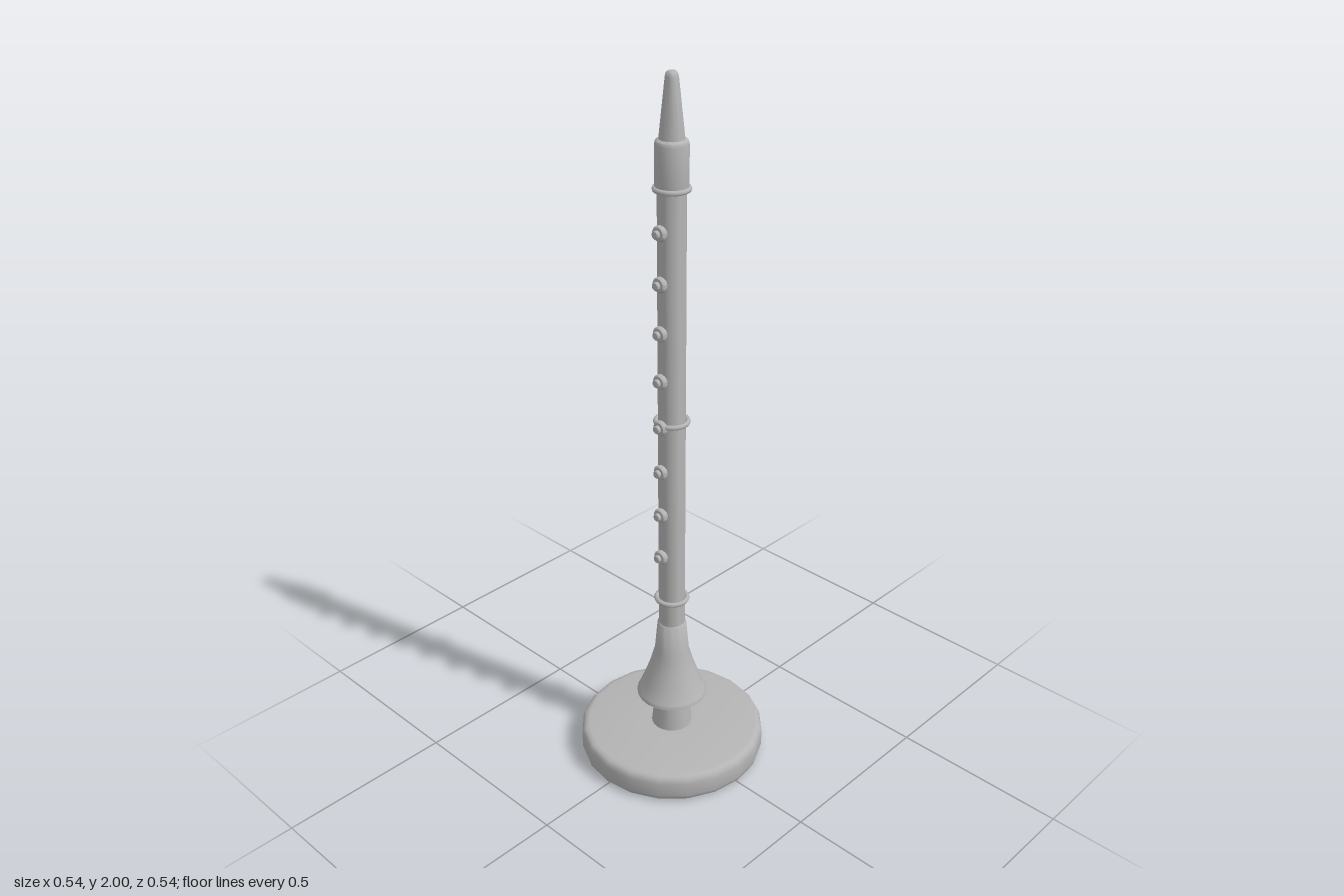
import * as THREE from 'three';
import { toCreasedNormals } from 'three/addons/utils/BufferGeometryUtils.js';

const grey = new THREE.MeshStandardMaterial({ color: 0xb4b4b4, side: THREE.DoubleSide });
grey.name = 'grey';

// Turned part from a [radius, height] profile, listed upwards along the outside
function turned(name, profile, sides = 24) {
  const points = profile.map(([r, y]) => new THREE.Vector2(r, y));
  const geometry = toCreasedNormals(new THREE.LatheGeometry(points, sides), 0.7);
  const mesh = new THREE.Mesh(geometry, grey);
  mesh.name = name;
  return mesh;
}

export function createModel() {
  const model = new THREE.Group();
  model.name = 'woodwindOnStand';

  // Round foot: a shallow upturned dish with a hole under the peg
  model.add(turned('standBase', [
    [0.058, 0.075], [0.235, 0.075], [0.245, 0.065], [0.245, 0.008], [0.252, 0],
    [0.258, 0.002], [0.265, 0.009], [0.268, 0.02], [0.268, 0.062],
    [0.265, 0.074], [0.258, 0.082], [0.246, 0.085], [0.058, 0.085],
  ], 20));

  // Hollow tapered peg that enters the bell
  model.add(turned('standPeg', [[0.06, 0.075], [0.036, 0.3], [0, 0.3]]));

  // Thin flared bell, open below
  model.add(turned('bell', [
    [0.034, 0.43], [0.043, 0.34], [0.062, 0.275], [0.094, 0.196],
    [0.097, 0.192], [0.101, 0.193], [0.101, 0.199], [0.097, 0.205],
    [0.082, 0.242], [0.066, 0.285], [0.049, 0.345], [0.041, 0.435], [0.037, 0.44],
  ]));

  // Long straight tube
  model.add(turned('body', [[0, 0.43], [0.037, 0.43], [0.037, 1.72], [0, 1.72]]));

  // Barrel with softened ends
  model.add(turned('barrel', [
    [0, 1.715], [0.042, 1.715], [0.043, 1.72], [0.043, 1.825],
    [0.041, 1.834], [0.036, 1.838], [0, 1.838],
  ]));

  // Tapered mouthpiece with a rounded tip
  model.add(turned('mouthpiece', [
    [0, 1.835], [0.033, 1.835], [0.017, 1.985], [0.015, 1.994], [0.01, 1.999], [0, 2],
  ], 14));

  // Joint rings
  for (const y of [0.52, 1.08, 1.715]) {
    const ring = new THREE.Mesh(new THREE.TorusGeometry(0.043, 0.007, 8, 24), grey);
    ring.name = 'jointRing';
    ring.rotation.x = Math.PI / 2;
    ring.position.y = y;
    model.add(ring);
  }

  // Row of stepped round keys along the front
  for (let i = 0; i < 8; i++) {
    const key = turned('key', [
      [0, 0], [0.017, 0], [0.021, 0.006], [0.021, 0.014], [0.018, 0.018],
      [0.011, 0.019], [0.011, 0.027], [0.009, 0.029], [0, 0.029],
    ], 14);
    key.rotation.x = Math.PI / 2;
    key.position.set(0, 0.672 + i * 0.134, 0.033);
    model.add(key);
  }

  return model;
}
